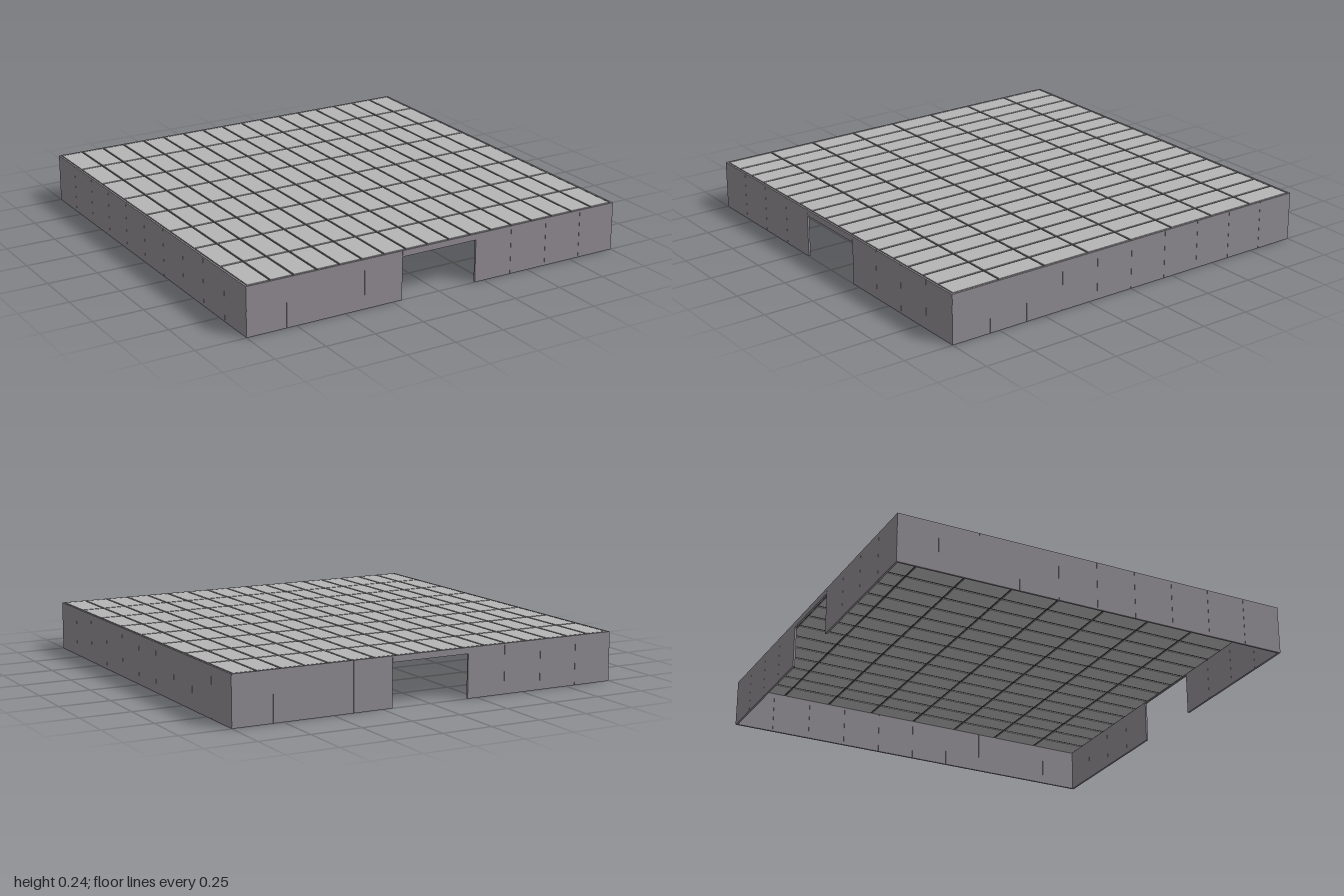
import * as THREE from 'three';

const HEIGHT = 0.24, WALL = 0.01, DECK = 0.03;
const COLS = 17, ROWS = 8, GAP = 0.01;

const tileMat = new THREE.MeshStandardMaterial({ color: 0xb4b4b4 });
const jointMat = new THREE.MeshStandardMaterial({ color: 0x3a3a3a });
const wallMat = new THREE.MeshStandardMaterial({ color: 0x8a868c });

function addBox(parent, name, mat, size, pos) {
  const mesh = new THREE.Mesh(new THREE.BoxGeometry(...size), mat);
  mesh.position.set(...pos);
  mesh.name = name;
  parent.add(mesh);
}

// One skirt wall facing +z, made of 0.2-wide panels, optionally with a doorway
function makeWall(name, doorway) {
  const wall = new THREE.Group();
  wall.name = name;
  const z = 1 - WALL / 2;
  for (let i = 0; i < 10; i++) {
    const x = -0.9 + i * 0.2;
    if (doorway && Math.abs(x) < 0.2) continue;
    addBox(wall, 'skirtPanel', wallMat, [0.199, HEIGHT, WALL], [x, HEIGHT / 2, z]);
  }
  if (doorway) {
    addBox(wall, 'lintel', wallMat, [0.4, DECK, WALL], [0, HEIGHT - DECK / 2, z]);
  }
  return wall;
}

export function createModel() {
  const model = new THREE.Group();
  model.name = 'raisedDeck';

  // Skirt: doorways in front and back, closed sides
  ['frontWall', 'leftWall', 'backWall', 'rightWall'].forEach((name, i) => {
    const wall = makeWall(name, i % 2 === 0);
    wall.rotation.y = i * Math.PI / 2;
    model.add(wall);
  });

  // Deck slabs
  const deck = new THREE.Group();
  deck.name = 'deck';
  model.add(deck);
  const inner = 2 - 2 * WALL;
  const px = inner / COLS, pz = inner / ROWS;
  const y = HEIGHT - DECK / 2;
  for (let c = 0; c < COLS; c++) {
    for (let r = 0; r < ROWS; r++) {
      addBox(deck, 'deckSlab', tileMat, [px - GAP, DECK, pz - GAP],
        [(c + 0.5) * px - inner / 2, y, (r + 0.5) * pz - inner / 2]);
    }
  }

  // Dark bars recessed in the joints between slabs
  const barH = DECK - 0.008;
  for (let c = 0; c <= COLS; c++) {
    const w = c % COLS ? GAP : GAP / 2;
    const shift = c === 0 ? GAP / 4 : c === COLS ? -GAP / 4 : 0;
    addBox(deck, 'lengthwiseJoint', jointMat, [w, barH, inner], [c * px - inner / 2 + shift, y, 0]);
  }
  for (let r = 0; r <= ROWS; r++) {
    const w = r % ROWS ? GAP : GAP / 2;
    const shift = r === 0 ? GAP / 4 : r === ROWS ? -GAP / 4 : 0;
    addBox(deck, 'crosswiseJoint', jointMat, [inner, barH - 0.002, w], [0, y, r * pz - inner / 2 + shift]);
  }
  return model;
}
